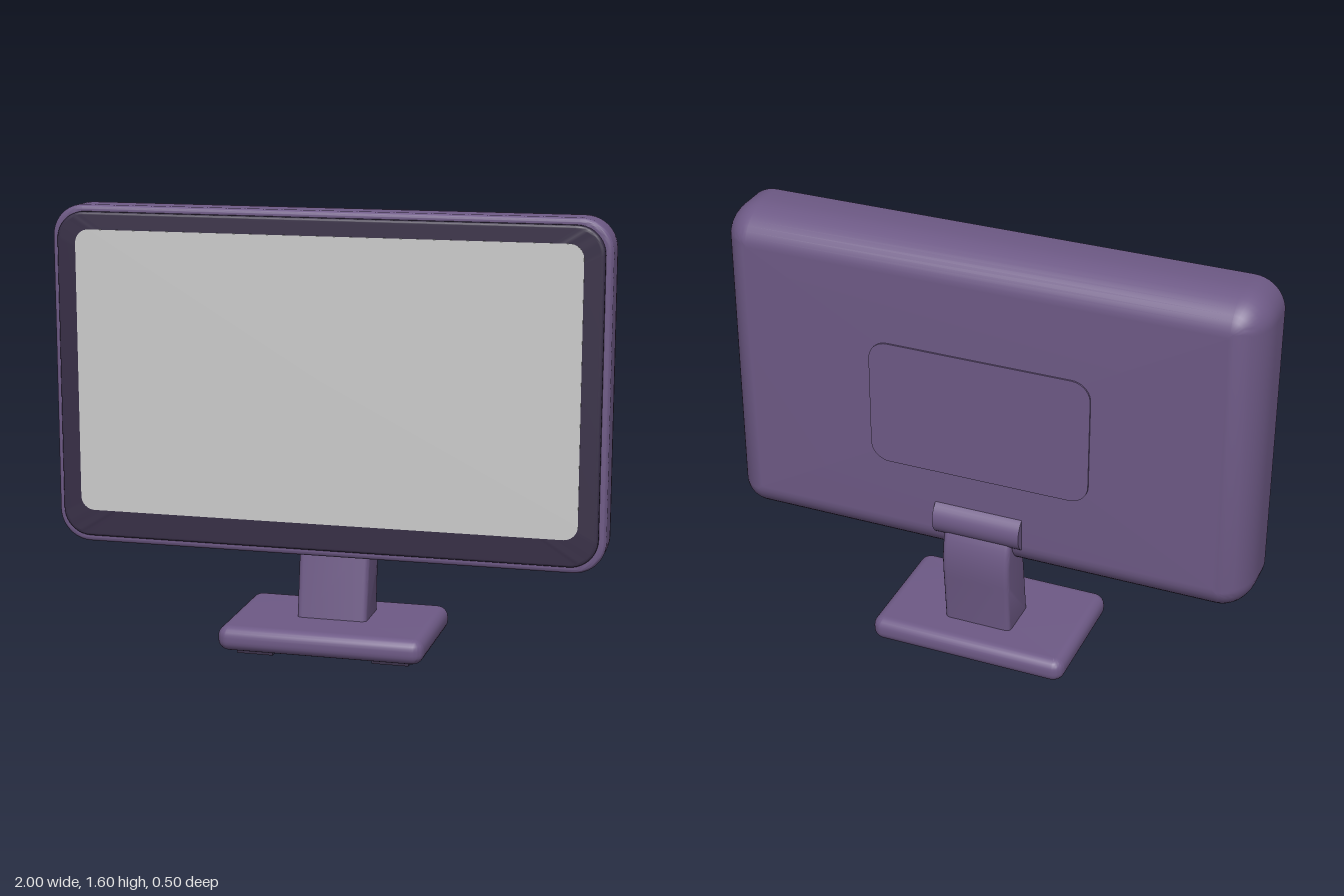
import * as THREE from 'three';
import { toCreasedNormals } from 'three/addons/utils/BufferGeometryUtils.js';

const mat = (name, color) => Object.assign(new THREE.MeshStandardMaterial({ color }), { name });

// Points of a rounded rectangle, counter-clockwise
function roundedLoop(w, h, r, steps = 10) {
  const pts = [];
  for (let c = 0; c < 4; c++) {
    const cx = (c === 0 || c === 3 ? 1 : -1) * (w / 2 - r);
    const cy = (c < 2 ? 1 : -1) * (h / 2 - r);
    for (let i = 0; i <= steps; i++) {
      const a = (c + i / steps) * Math.PI / 2;
      pts.push([cx + r * Math.cos(a), cy + r * Math.sin(a)]);
    }
  }
  return pts;
}

// Closed slab: rounded rectangles stacked along z, profile = [inset, z] from back to front
function slab(w, h, r, profile) {
  const pos = [], idx = [];
  let n = 0;
  for (const [inset, z] of profile) {
    const loop = roundedLoop(w - 2 * inset, h - 2 * inset, Math.max(r - inset, 0.006));
    n = loop.length;
    for (const [x, y] of loop) pos.push(x, y, z);
  }
  const rings = profile.length, back = rings * n, front = back + 1;
  pos.push(0, 0, profile[0][1], 0, 0, profile[rings - 1][1]);
  for (let j = 0; j < n; j++) {
    const k = (j + 1) % n;
    for (let i = 0; i < rings - 1; i++) {
      const a = i * n, b = a + n;
      idx.push(a + j, a + k, b + k, a + j, b + k, b + j);
    }
    idx.push(back, k, j, front, (rings - 1) * n + j, (rings - 1) * n + k);
  }
  const geo = new THREE.BufferGeometry();
  geo.setAttribute('position', new THREE.Float32BufferAttribute(pos, 3));
  geo.setIndex(idx);
  return toCreasedNormals(geo, 0.6);
}

// Profile with an elliptical rear edge and a round front edge
function edgeProfile(z0, z1, rearInset, rearDepth, frontR, steps = 8) {
  const p = [[rearInset + 0.004, z0]];
  for (let i = 0; i <= steps; i++) {
    const a = i / steps * Math.PI / 2;
    p.push([rearInset * (1 - Math.sin(a)), z0 + rearDepth * (1 - Math.cos(a))]);
  }
  for (let i = 0; i <= steps; i++) {
    const a = i / steps * Math.PI / 2;
    p.push([frontR * (1 - Math.cos(a)), z1 - frontR * (1 - Math.sin(a))]);
  }
  p.push([frontR + 0.004, z1]);
  return p;
}

export function createModel() {
  const model = new THREE.Group();
  model.name = 'monitor';
  const purple = mat('purple plastic', 0x6e5a86);
  const dark = mat('dark plastic', 0x382f47);
  const grey = mat('screen grey', 0xcccccc);

  const add = (name, geo, material, x = 0, y = 0, z = 0) => {
    const mesh = new THREE.Mesh(geo, material);
    mesh.name = name;
    mesh.position.set(x, y, z);
    model.add(mesh);
    return mesh;
  };

  // Display head
  add('casing', slab(2, 1.23, 0.115, edgeProfile(-0.11, 0.153, 0.12, 0.16, 0.016, 10)), purple, 0, 0.985);
  add('bezel', slab(1.95, 1.18, 0.1, edgeProfile(0.14, 0.175, 0.004, 0.004, 0.01, 5)), dark, 0, 0.987);
  add('screen', slab(1.81, 1.02, 0.05, [[0, 0.171], [0, 0.177]]), grey, 0, 1.005);
  add('backPanel', slab(0.83, 0.48, 0.07, [[0, -0.116], [0, -0.1]]), purple, 0, 0.97);

  // Hinge barrel behind the casing
  const hinge = new THREE.CylinderGeometry(0.075, 0.075, 0.335, 40).rotateZ(Math.PI / 2);
  add('hinge', hinge, purple, 0, 0.535, -0.07);

  // Neck: side outline extruded across the width
  const side = new THREE.Shape();
  side.moveTo(0.056, 0.09);
  side.lineTo(0.015, 0.38);
  side.quadraticCurveTo(0, 0.48, -0.03, 0.54);
  side.lineTo(-0.1, 0.54);
  side.bezierCurveTo(-0.155, 0.47, -0.156, 0.38, -0.142, 0.28);
  side.lineTo(-0.123, 0.09);
  side.closePath();
  const neck = new THREE.ExtrudeGeometry(side, {
    depth: 0.22, curveSegments: 12, bevelEnabled: true,
    bevelThickness: 0.02, bevelSize: 0.02, bevelOffset: -0.02, bevelSegments: 4,
  });
  neck.translate(0, 0, -0.11).rotateY(-Math.PI / 2);
  add('neck', toCreasedNormals(neck, 0.6), purple);

  // Base and its four feet
  const base = slab(0.755, 0.5, 0.045, edgeProfile(0.02, 0.11, 0.038, 0.038, 0.038, 6)).rotateX(-Math.PI / 2);
  add('base', base, purple);
  const foot = new THREE.BoxGeometry(0.135, 0.03, 0.09);
  for (const x of [-0.25, 0.25]) {
    for (const z of [-0.14, 0.14]) add('foot', foot, dark, x, 0.015, z);
  }
  return model;
}
